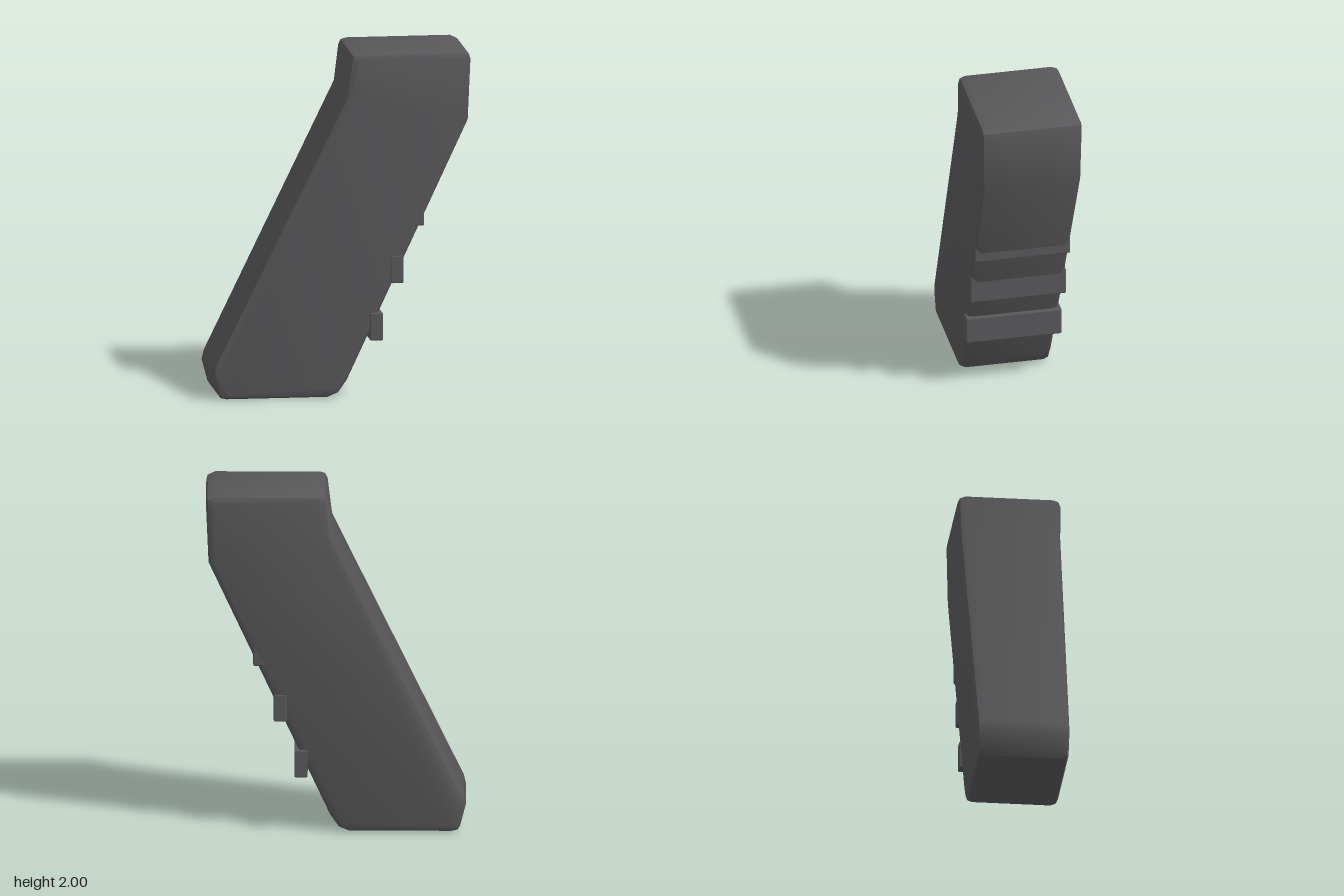
import * as THREE from 'three';
import { toCreasedNormals } from 'three/addons/utils/BufferGeometryUtils.js';
import { RoundedBoxGeometry } from 'three/addons/geometries/RoundedBoxGeometry.js';

export function createModel() {
  const group = new THREE.Group();
  const darkGrey = new THREE.MeshStandardMaterial({ color: 0x58585a });
  darkGrey.name = 'dark grey';

  // Slanted grip body: side profile extruded with a softened rim
  const profile = new THREE.Shape([
    [-0.66, 0.005], [-0.08, 0.005], [-0.02, 0.03], [0.03, 0.1],
    [0.725, 1.6], [0.74, 1.95], [0.732, 1.98], [0.69, 2],
    [0.09, 2], [0.06, 1.99], [0.047, 1.96], [0.022, 1.755],
    [-0.73, 0.215], [-0.743, 0.16], [-0.71, 0.035], [-0.695, 0.012],
  ].map(([x, y]) => new THREE.Vector2(x, y)));
  const rim = 0.035, rimDepth = 0.04, half = 0.28;
  let body = new THREE.ExtrudeGeometry(profile, {
    depth: 2 * (half - rimDepth), bevelEnabled: true, bevelSegments: 2,
    bevelSize: rim, bevelOffset: -rim, bevelThickness: rimDepth,
  });
  body.translate(0, 0, -(half - rimDepth));

  // The body widens gently towards the top
  const p = body.attributes.position;
  for (let i = 0; i < p.count; i++) {
    p.setZ(i, p.getZ(i) * (0.262 + 0.0165 * p.getY(i)) / half);
  }
  body = toCreasedNormals(body, 0.75);
  const grip = new THREE.Mesh(body, darkGrey);
  grip.name = 'gripBody';
  group.add(grip);

  // Finger ribs stepping up the sloped edge, sinking into the body
  for (let i = 0; i < 4; i++) {
    const rib = new THREE.Mesh(new RoundedBoxGeometry(0.076, 0.16, 0.558, 1, 0.008), darkGrey);
    rib.position.set(0.197 + i * 0.1177, 0.413 + i * 0.33, 0);
    rib.name = 'fingerRib' + (i + 1);
    group.add(rib);
  }
  return group;
}
